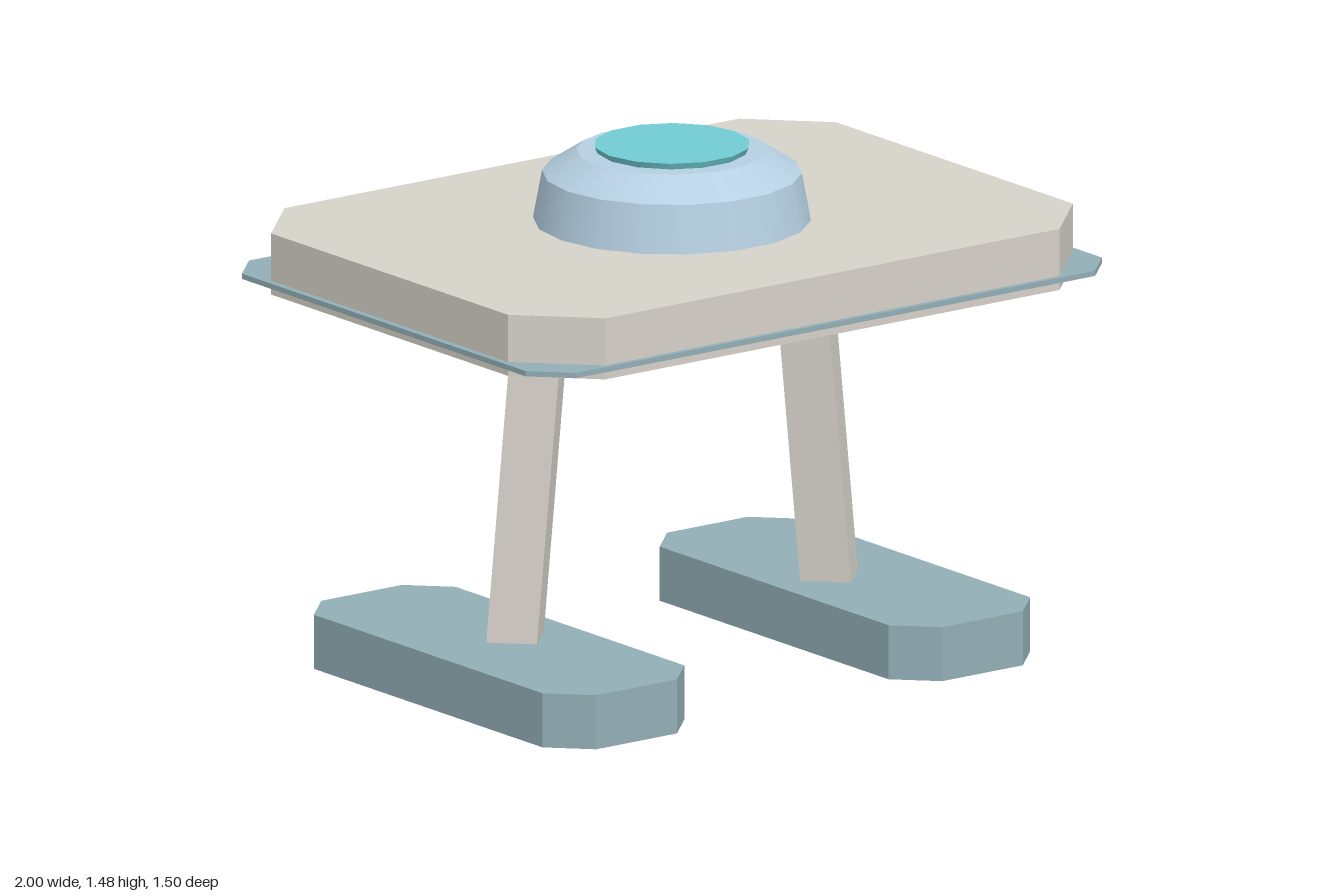
import * as THREE from 'three';

const paint = (name, color) => {
  const m = new THREE.MeshStandardMaterial({ color });
  m.name = name;
  return m;
};

// Rectangular slab in plan with 45-degree cut corners, from y0 to y1
function cutSlab(hx, hz, cut, y0, y1) {
  const s = new THREE.Shape([
    [hx, hz - cut], [hx - cut, hz], [cut - hx, hz], [-hx, hz - cut],
    [-hx, cut - hz], [cut - hx, -hz], [hx - cut, -hz], [hx, cut - hz],
  ].map(([x, z]) => new THREE.Vector2(x, z)));
  const g = new THREE.ExtrudeGeometry(s, { depth: y1 - y0, bevelEnabled: false });
  return g.rotateX(-Math.PI / 2).translate(0, y0, 0);
}

export function createModel() {
  const model = new THREE.Group();
  model.name = 'walker';
  const hull = paint('warm grey', 0xd6d2c9);
  const trim = paint('slate blue', 0x93aeb6);
  const domeBlue = paint('pale blue', 0xb6d0e2);
  const teal = paint('teal', 0x70ccd2);

  const add = (name, geometry, material, parent = model) => {
    const mesh = new THREE.Mesh(geometry, material);
    mesh.name = name;
    parent.add(mesh);
    return mesh;
  };
  // Ring section with a corner pointing along x
  const frustum = (rTop, rBottom, y0, y1, sides, open = false) =>
    new THREE.CylinderGeometry(rTop, rBottom, y1 - y0, sides, 1, open)
      .rotateY(Math.PI / 2).translate(0, (y0 + y1) / 2, 0);

  // Body plate and the thin trim around it
  add('body', cutSlab(0.98, 0.735, 0.192, 1.09, 1.265), hull);
  add('bodyTrim', cutSlab(1, 0.75, 0.1, 1.115, 1.13), trim);

  // Dome in two bands with a lens on top
  add('domeSide', frustum(0.36, 0.385, 1.265, 1.4, 18, true), domeBlue);
  add('domeShoulder', frustum(0.265, 0.36, 1.4, 1.462, 18), domeBlue);
  add('lens', frustum(0.218, 0.21, 1.462, 1.48, 14), teal);

  // Leaning diamond-section legs on long feet
  for (const [side, name] of [[1, 'left'], [-1, 'right']]) {
    const limb = new THREE.Group();
    limb.name = name + 'Limb';
    model.add(limb);

    const leg = frustum(0.1, 0.1, 0.15, 1.1, 4).toNonIndexed();
    const p = leg.attributes.position;
    for (let i = 0; i < p.count; i++) {
      p.setX(i, p.getX(i) + side * (0.56 - 0.1 * p.getY(i)));
    }
    leg.computeVertexNormals();
    add(name + 'Leg', leg, hull, limb);

    add(name + 'Foot', cutSlab(0.246, 0.63, 0.106, 0, 0.155), trim, limb).position.x = side * 0.6;
  }
  return model;
}
